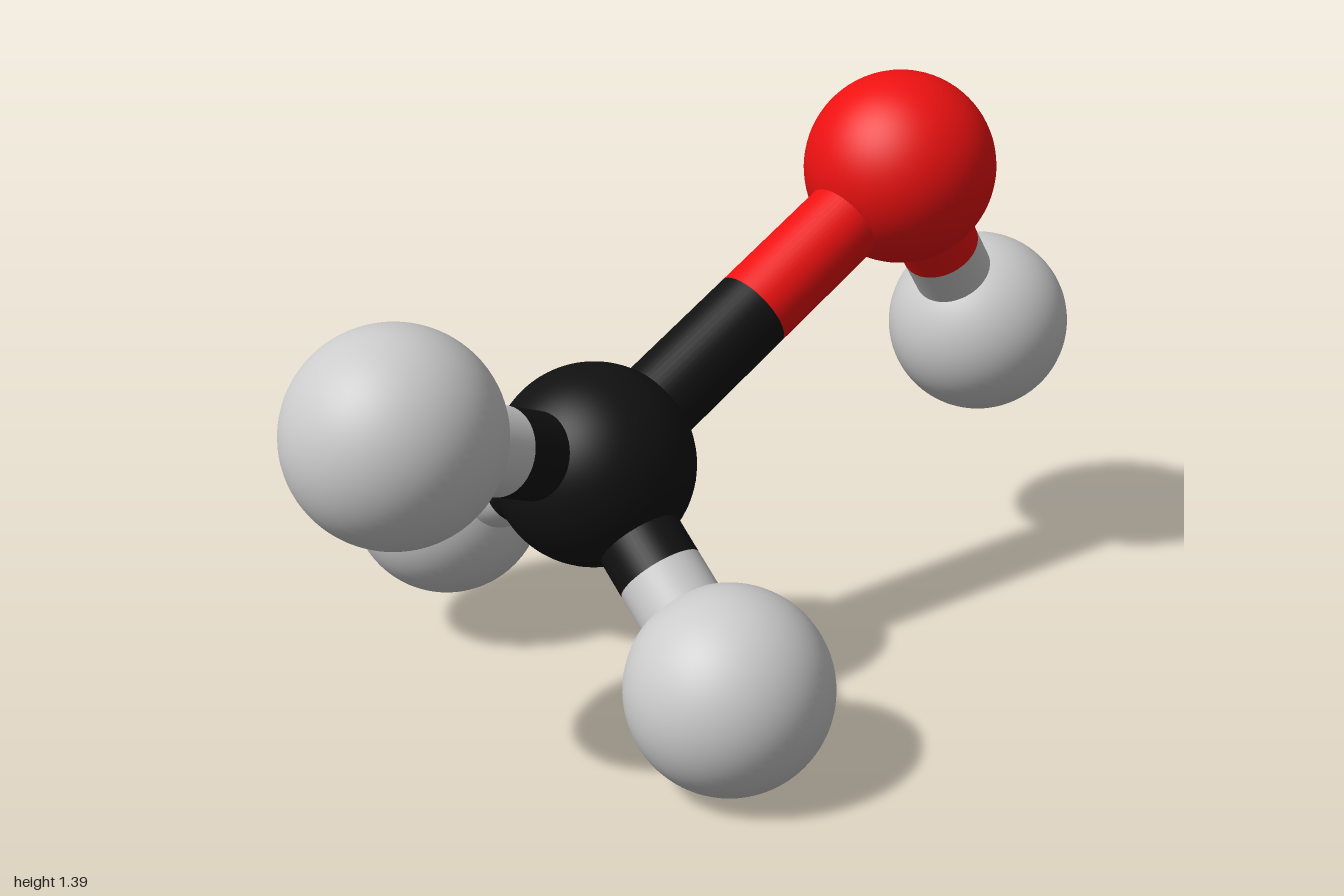
import * as THREE from 'three';

const ATOM_RADIUS = 0.234;
const BOND_RADIUS = 0.1;

const materials = {
  carbon: new THREE.MeshStandardMaterial({ color: 0x111111 }),
  oxygen: new THREE.MeshStandardMaterial({ color: 0xee1111 }),
  hydrogen: new THREE.MeshStandardMaterial({ color: 0xcccccc }),
};

const atoms = {
  carbon: { element: 'carbon', at: [-0.326, 0.619, 0.163] },
  oxygen: { element: 'oxygen', at: [0.478, 1.154, -0.316] },
  hydrogenUpperRight: { element: 'hydrogen', at: [-0.766, 0.879, 0.569] },
  hydrogenBack: { element: 'hydrogen', at: [-0.654, 0.369, -0.266] },
  hydrogenFront: { element: 'hydrogen', at: [-0.076, 0.236, 0.563] },
  hydrogenLeft: { element: 'hydrogen', at: [0.761, 0.655, -0.569] },
};

const bonds = [
  ['carbon', 'oxygen'],
  ['carbon', 'hydrogenUpperRight'],
  ['carbon', 'hydrogenBack'],
  ['carbon', 'hydrogenFront'],
  ['oxygen', 'hydrogenLeft'],
];

// Cylinder running from one point to another
function rod(from, to, material, name) {
  const direction = to.clone().sub(from);
  const geometry = new THREE.CylinderGeometry(BOND_RADIUS, BOND_RADIUS, direction.length(), 48);
  const mesh = new THREE.Mesh(geometry, material);
  mesh.position.copy(from).lerp(to, 0.5);
  mesh.quaternion.setFromUnitVectors(new THREE.Vector3(0, 1, 0), direction.normalize());
  mesh.name = name;
  return mesh;
}

export function createModel() {
  const model = new THREE.Group();
  model.name = 'ballAndStickMolecule';

  // Atoms
  const ball = new THREE.SphereGeometry(ATOM_RADIUS, 64, 40);
  for (const [name, { element, at }] of Object.entries(atoms)) {
    const mesh = new THREE.Mesh(ball, materials[element]);
    mesh.position.set(...at);
    mesh.name = `${name}Atom`;
    model.add(mesh);
  }

  // Bonds, each half in the colour of its own atom
  for (const [a, b] of bonds) {
    const start = new THREE.Vector3(...atoms[a].at);
    const end = new THREE.Vector3(...atoms[b].at);
    const middle = start.clone().lerp(end, 0.5);
    const bond = new THREE.Group();
    bond.name = `${a}To${b[0].toUpperCase()}${b.slice(1)}Bond`;
    bond.add(rod(start, middle, materials[atoms[a].element], `${a}Half`));
    bond.add(rod(middle, end, materials[atoms[b].element], `${b}Half`));
    model.add(bond);
  }

  return model;
}
